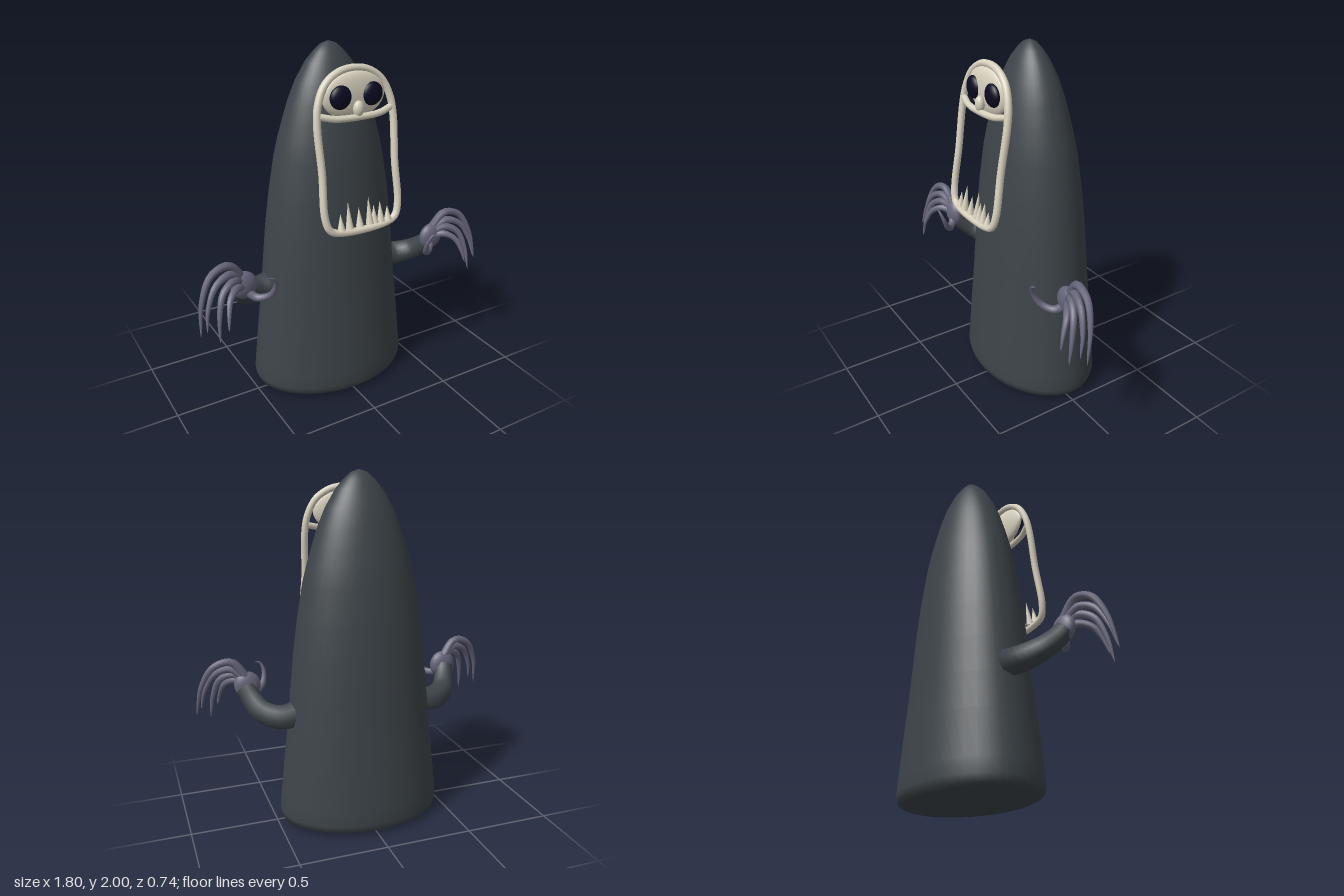
import * as THREE from 'three';

const v = (x, y, z) => new THREE.Vector3(x, y, z);

// Tube along points whose radius follows radiusAt(t), t from 0 to 1
function taperedTube(points, radiusAt, steps, sides) {
  const curve = new THREE.CatmullRomCurve3(points);
  const geo = new THREE.TubeGeometry(curve, steps, 1, sides, false);
  const pos = geo.attributes.position;
  const p = v(0, 0, 0);
  for (let i = 0; i <= steps; i++) {
    const centre = curve.getPointAt(i / steps);
    for (let j = 0; j <= sides; j++) {
      const k = i * (sides + 1) + j;
      p.fromBufferAttribute(pos, k).sub(centre).multiplyScalar(radiusAt(i / steps)).add(centre);
      pos.setXYZ(k, p.x, p.y, p.z);
    }
  }
  // Keep the tube's own normals, which stay smooth across its seam
  return geo;
}

export function createModel() {
  const model = new THREE.Group();
  model.name = 'hoodedGhost';

  const material = (name, color) => {
    const m = new THREE.MeshStandardMaterial({ color });
    m.name = name;
    return m;
  };
  const cloth = material('darkCloth', 0x3d4449);
  const bone = material('bone', 0xd8d1be);
  const skin = material('greySkin', 0x65657a);
  const black = material('eyeNavy', 0x0a0a22);

  const add = (parent, name, geo, mat, pos) => {
    const mesh = new THREE.Mesh(geo, mat);
    mesh.name = name;
    if (pos) mesh.position.set(...pos);
    parent.add(mesh);
    return mesh;
  };
  const ellipsoid = (rx, ry, rz) => new THREE.SphereGeometry(1, 24, 16).scale(rx, ry, rz);

  // Shroud: an oval, tapering cloak with a softly rounded hem and a closed base
  const profile = [
    [0, 0], [0.30, 0.005], [0.43, 0.015], [0.468, 0.03], [0.48, 0.07], [0.472, 0.15],
    [0.445, 0.4], [0.422, 0.6], [0.402, 0.8], [0.382, 1.0], [0.355, 1.2], [0.32, 1.4],
    [0.295, 1.5], [0.265, 1.6], [0.232, 1.7], [0.19, 1.8], [0.13, 1.9], [0.085, 1.95],
    [0.045, 1.985], [0, 2],
  ].map(([r, y]) => new THREE.Vector2(r, y));
  add(model, 'shroud', new THREE.LatheGeometry(profile, 40).scale(1, 1, 0.71), cloth, [0, 0, -0.028]);

  // Mask: a leaning, arched bone frame, open below the brow
  const mask = new THREE.Group();
  mask.name = 'mask';
  model.add(mask);
  const leanZ = (y) => 0.25 + (1.68 - y) * 0.158;
  const half = [
    [0.13, 1.075], [0.2, 1.1], [0.225, 1.17], [0.221, 1.4], [0.227, 1.64],
    [0.213, 1.74], [0.168, 1.83], [0.09, 1.884],
  ];
  const outline = [...half, [0, 1.9], ...half.slice().reverse().map(([x, y]) => [-x, y])];
  const frameCurve = new THREE.CatmullRomCurve3(outline.map(([x, y]) => v(x, y, leanZ(y))), true);
  add(mask, 'maskFrame', new THREE.TubeGeometry(frameCurve, 96, 0.02, 10, true), bone);

  // Face with nose and upper jaw
  add(mask, 'face', ellipsoid(0.185, 0.122, 0.037), bone, [0, 1.765, 0.23]);
  add(mask, 'nose', ellipsoid(0.029, 0.043, 0.025), bone, [0, 1.705, 0.278]);
  const jaw = [v(-0.215, 1.685, 0.25), v(-0.13, 1.667, 0.272), v(0, 1.663, 0.28),
    v(0.13, 1.667, 0.272), v(0.215, 1.685, 0.25)];
  add(mask, 'upperJaw', taperedTube(jaw, () => 0.018, 24, 10), bone);
  for (const side of [-1, 1]) {
    add(mask, side > 0 ? 'leftEye' : 'rightEye', ellipsoid(0.061, 0.061, 0.03), black,
      [side * 0.093, 1.768, 0.257]);
  }

  // Lower teeth: x position and height
  const teeth = [[-0.135, 0.09], [-0.085, 0.145], [-0.022, 0.105], [0.04, 0.15],
    [0.07, 0.1], [0.11, 0.115], [0.155, 0.08]];
  for (const [x, h] of teeth) {
    const y = 1.09 + h / 2;
    add(mask, 'tooth', new THREE.ConeGeometry(0.022, h, 8), bone, [x, y, leanZ(y) + 0.002])
      .rotation.x = -0.157;
  }

  // Arms and hands, listed for the +x side and mirrored
  const armPath = [[0.36, 0.665, -0.035], [0.47, 0.652, -0.03], [0.56, 0.68, 0.025],
    [0.605, 0.74, 0.095], [0.625, 0.79, 0.135]];
  const fingers = [
    [[0.62, 0.85, 0.14], [0.70, 0.945, 0.155], [0.80, 0.92, 0.17], [0.87, 0.80, 0.20], [0.9, 0.62, 0.235]],
    [[0.62, 0.83, 0.14], [0.70, 0.90, 0.17], [0.79, 0.87, 0.20], [0.85, 0.76, 0.23], [0.87, 0.65, 0.255]],
    [[0.62, 0.81, 0.14], [0.68, 0.865, 0.18], [0.76, 0.83, 0.22], [0.80, 0.72, 0.255], [0.815, 0.585, 0.28]],
    [[0.61, 0.79, 0.14], [0.67, 0.825, 0.19], [0.73, 0.795, 0.24], [0.755, 0.73, 0.275], [0.77, 0.65, 0.3]],
  ];
  const thumb = [[0.61, 0.78, 0.15], [0.565, 0.74, 0.195], [0.508, 0.765, 0.245],
    [0.49, 0.835, 0.28], [0.508, 0.882, 0.295], [0.54, 0.892, 0.295]];
  const fingerRadius = (t) => 0.026 * Math.pow(1 - t, 0.6) + 0.0005;

  for (const side of [-1, 1]) {
    const label = side > 0 ? 'left' : 'right';
    const path = (pts) => pts.map(([x, y, z]) => v(side * x, y, z));
    add(model, label + 'Sleeve', taperedTube(path(armPath), (t) => 0.08 - 0.025 * t, 14, 8), cloth);

    const hand = new THREE.Group();
    hand.name = label + 'Hand';
    model.add(hand);
    add(hand, 'palm', ellipsoid(0.076, 0.08, 0.042), skin, [side * 0.615, 0.805, 0.145])
      .rotation.z = side * -0.4;
    for (const f of fingers) add(hand, 'finger', taperedTube(path(f), fingerRadius, 20, 8), skin);
    add(hand, 'thumb', taperedTube(path(thumb), fingerRadius, 20, 8), skin);
  }
  return model;
}
